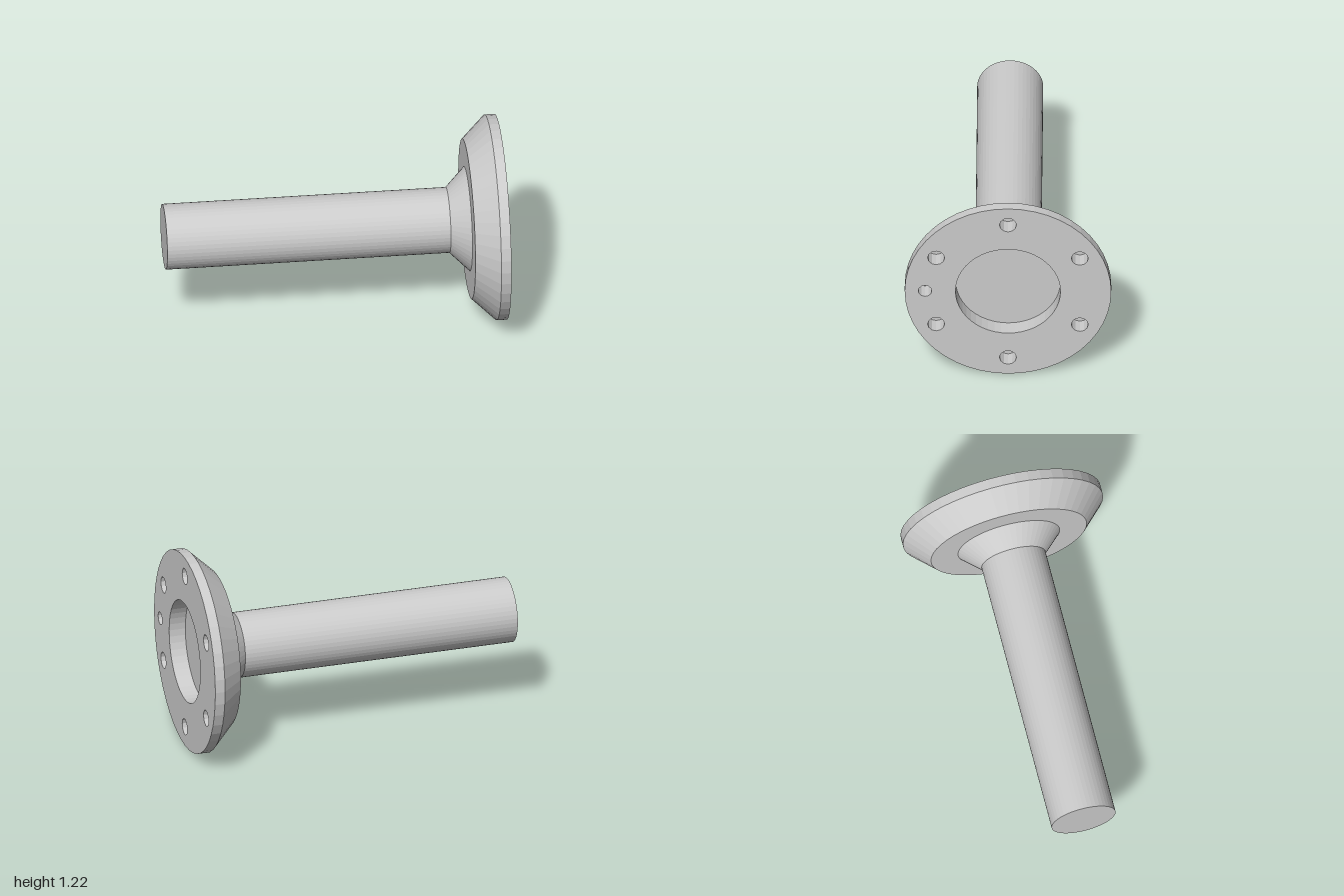
import * as THREE from 'three';

const SIDES = 48, HOLE_SIDES = 12;
const R = 0.61, RECESS_R = 0.31, DEPTH = 0.1;

export function createModel() {
  const group = new THREE.Group();
  group.name = 'flangedShaft';
  const material = new THREE.MeshStandardMaterial({ color: 0xcccccc, flatShading: true });

  // The part is turned about its local z axis, which ends up along +x.
  const axis = new THREE.Group();
  axis.name = 'turnedPart';
  axis.rotation.y = Math.PI / 2;
  axis.position.y = R;
  group.add(axis);

  function add(name, geometry, a = 0, b = 0) {
    const mesh = new THREE.Mesh(geometry, material);
    mesh.name = name;
    mesh.position.set(a, b, 0);
    axis.add(mesh);
  }
  // Profile points are [radius, position along the axis].
  function turned(profile, sides = SIDES) {
    const points = profile.map(([r, z]) => new THREE.Vector2(r, z));
    return new THREE.LatheGeometry(points, sides).rotateX(Math.PI / 2);
  }
  function ring(r, sides, a = 0, b = 0) {
    return Array.from({ length: sides }, (_, i) => {
      const t = (i / sides) * Math.PI * 2;
      return new THREE.Vector2(a + r * Math.cos(t), b + r * Math.sin(t));
    });
  }

  // Shaft, conical neck and bevelled flange
  add('shaft', turned([[0, -1], [0.195, -1], [0.195, 0.685]]));
  add('neck', turned([[0.195, 0.685], [0.31, 0.8]]));
  add('flangeRim', turned([[0.31, 0.8], [0.475, 0.8], [R, 0.94], [R, 1]]));

  // Six bolt holes and one smaller locating hole
  const holes = [{ name: 'locatingHole', r: 0.04, a: -0.49, b: 0 }];
  for (let i = 0; i < 6; i++) {
    const t = Math.PI / 6 + (i * Math.PI) / 3;
    holes.push({ name: 'boltHole', r: 0.05, a: 0.49 * Math.cos(t), b: 0.49 * Math.sin(t) });
  }

  // Front face of the flange, pierced by the holes and the central recess
  const face = new THREE.Shape(ring(R, SIDES));
  face.holes.push(new THREE.Path(ring(RECESS_R, SIDES)));
  for (const h of holes) face.holes.push(new THREE.Path(ring(h.r, HOLE_SIDES, h.a, h.b)));
  add('flangeFace', new THREE.ShapeGeometry(face).translate(0, 0, 1));

  // Blind pockets behind the openings
  const pocket = (r, sides) => turned([[r, 1], [r, 1 - DEPTH], [0, 1 - DEPTH]], sides);
  add('recess', pocket(RECESS_R, SIDES));
  for (const h of holes) add(h.name, pocket(h.r, HOLE_SIDES), h.a, h.b);

  return group;
}
